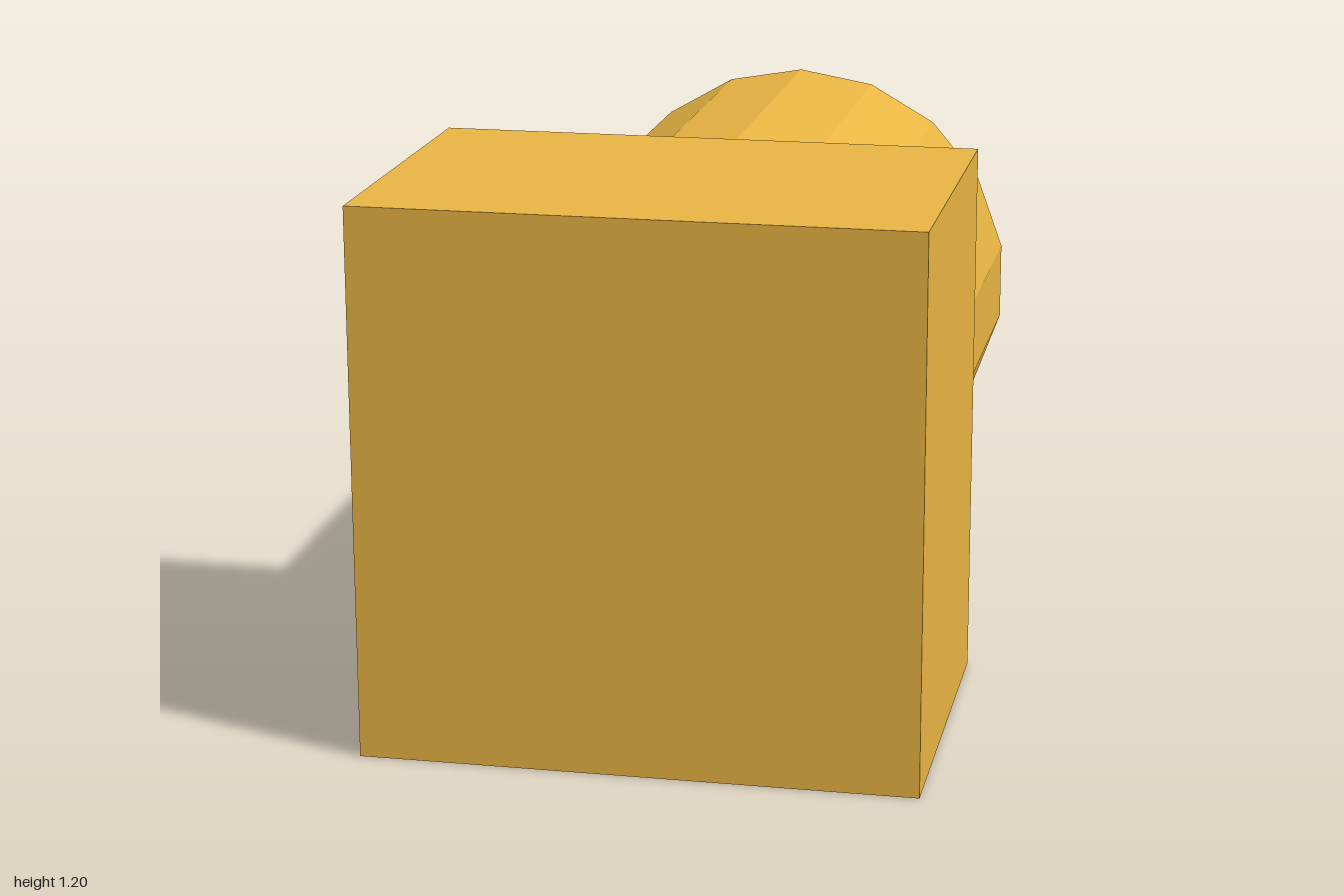
import * as THREE from 'three';

export function createModel() {
  const group = new THREE.Group();
  const material = new THREE.MeshStandardMaterial({ color: 0xe8b443, flatShading: true });

  const addPart = (name, geometry, z) => {
    const mesh = new THREE.Mesh(geometry, material);
    mesh.name = name;
    mesh.position.set(0, 0.6, z);
    group.add(mesh);
  };

  // Square block at the front
  addPart('headBlock', new THREE.BoxGeometry(1.2, 1.2, 0.8), 0.6);

  // 18-sided shaft running back from the block, with a corner at the top
  const shaft = new THREE.CylinderGeometry(0.533, 0.533, 1.2, 18).rotateX(Math.PI / 2);
  addPart('shaft', shaft, -0.4);

  return group;
}
